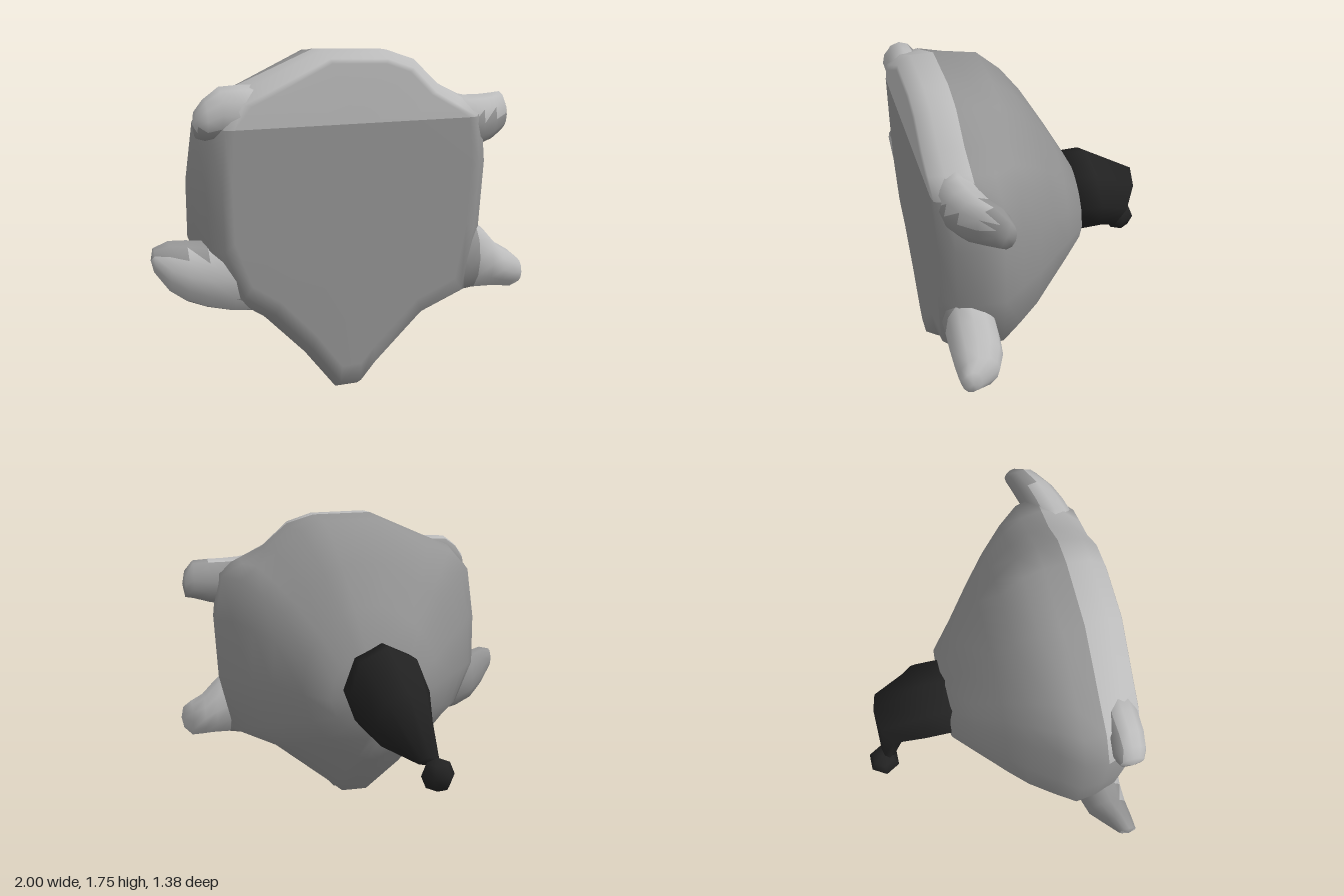
import * as THREE from 'three';

const grey = new THREE.MeshStandardMaterial({ color: 0x949494 });
grey.name = 'mid grey';
const light = new THREE.MeshStandardMaterial({ color: 0xbcbcbc });
light.name = 'light grey';
const black = new THREE.MeshStandardMaterial({ color: 0x222222 });
black.name = 'black';

// Closed smooth skin over rings of points; isLight picks the paler faces by centroid
function loft(rings, startCentre, endCentre, isLight = () => false) {
  const n = rings[0].length;
  const pts = rings.flat().concat([startCentre, endCentre]);
  const first = rings.length * n, last = first + 1;
  const tris = [];
  for (let i = 0; i < n; i++) {
    const k = (i + 1) % n;
    for (let r = 0; r < rings.length - 1; r++) {
      const a = r * n + i, b = r * n + k;
      tris.push([a, b, b + n], [a, b + n, a + n]);
    }
    const e = (rings.length - 1) * n;
    tris.push([first, k, i], [last, e + i, e + k]);
  }
  // Make the skin face outward
  let volume = 0;
  const v = new THREE.Vector3();
  for (const [a, b, c] of tris) volume += pts[a].dot(v.crossVectors(pts[b], pts[c]));
  if (volume < 0) tris.forEach((t) => t.reverse());

  const sets = [[], []];
  for (const t of tris) {
    const m = new THREE.Vector3();
    t.forEach((i) => m.addScaledVector(pts[i], 1 / 3));
    sets[isLight(m) ? 1 : 0].push(...t);
  }
  const geo = new THREE.BufferGeometry().setFromPoints(pts);
  geo.setIndex(sets.flat());
  geo.addGroup(0, sets[0].length, 0);
  geo.addGroup(sets[0].length, sets[1].length, 1);
  geo.computeVertexNormals();
  return geo;
}

function addMesh(group, name, geo, material) {
  const mesh = new THREE.Mesh(geo, material);
  mesh.name = name;
  group.add(mesh);
}

// Outline of the body at its widest section
const outline = [
  [0.06, 0.005], [0.15, 0.1], [0.45, 0.36], [0.72, 0.46], [0.79, 0.8], [0.81, 1.15], [0.78, 1.42],
  [0.65, 1.49], [0.51, 1.56], [0.36, 1.69], [0.2, 1.74], [-0.15, 1.75], [-0.5, 1.6], [-0.65, 1.54],
  [-0.76, 1.42], [-0.78, 1.1], [-0.77, 0.8], [-0.66, 0.55], [-0.48, 0.44], [-0.25, 0.22], [-0.07, 0.005],
];

// Back sections: z, half width, bottom, top, roundness
const sections = [
  [-0.2, 0.26, 0.54, 1.06, 1],
  [-0.08, 0.39, 0.39, 1.28, 0.9],
  [0.05, 0.54, 0.27, 1.5, 0.75],
  [0.15, 0.64, 0.17, 1.63, 0.6],
  [0.27, 0.73, 0.09, 1.73, 0.4],
  [0.38, 0.8, 0.05, 1.735, 0.2],
  [0.49, 0.79, 0.05, 1.745, 0],
];
const POWER = 1.75; // rounded diamond rather than a full ellipse

function bodyGeometry() {
  const rings = sections.map(([z, rx, low, high, round]) => outline.map(([x, y]) => {
    const u = x / 0.8, w = (y - 0.875) / 0.875;
    const len = (Math.abs(u) ** POWER + Math.abs(w) ** POWER) ** (1 / POWER);
    const s = THREE.MathUtils.lerp(1, 1 / len, round);
    return new THREE.Vector3(u * s * rx, (low + high) / 2 + w * s * (high - low) / 2, z);
  }));
  // Sides slope inward to the flat front
  rings.push(outline.map(([x, y]) => new THREE.Vector3(x * 0.93, y, 0.61)));
  const rim = outline.map(([x, y]) => new THREE.Vector3(x * 0.85, 0.95 + (y - 0.95) * 0.95, 0.68));
  const centre = new THREE.Vector3(0, 0.95 + 0.47 * 0.95, 0.688);
  rings.push(rim, rim.map((p) => p.clone().lerp(centre, 0.07).setZ(0.688)));
  return loft(rings, new THREE.Vector3(0, 0.8, -0.2), centre, (m) => m.z > 0.5 && m.y > 1.397);
}

// Stub limbs, as stations along x: x, y, z, half height, half depth
const limbs = {
  lowerLeftLimb: {
    path: [[0.4, 0.62, 0.53, 0.24, 0.14], [0.62, 0.645, 0.545, 0.22, 0.135], [0.72, 0.635, 0.55, 0.195, 0.13],
      [0.8, 0.6, 0.55, 0.16, 0.13], [0.87, 0.56, 0.55, 0.122, 0.125], [0.94, 0.535, 0.565, 0.105, 0.105],
      [0.985, 0.53, 0.61, 0.065, 0.05]],
    pale: (m) => m.x > 0.72,
  },
  lowerRightLimb: {
    path: [[-0.38, 0.64, 0.55, 0.2, 0.11], [-0.6, 0.66, 0.55, 0.19, 0.125], [-0.72, 0.67, 0.545, 0.17, 0.12],
      [-0.82, 0.7, 0.555, 0.155, 0.105], [-0.91, 0.745, 0.59, 0.125, 0.07], [-0.985, 0.79, 0.615, 0.06, 0.045]],
    pale: (m) => m.z > 0.57 && m.y < 0.8 && m.x < -0.5,
  },
  upperLeftLimb: {
    path: [[0.42, 1.36, 0.54, 0.18, 0.13], [0.64, 1.35, 0.56, 0.145, 0.115], [0.73, 1.355, 0.54, 0.135, 0.11],
      [0.82, 1.365, 0.51, 0.125, 0.1], [0.91, 1.38, 0.46, 0.108, 0.08], [0.96, 1.36, 0.42, 0.075, 0.05]],
    pale: (m) => m.z > 0.48 && m.y > 1.39,
  },
  upperRightLimb: {
    path: [[-0.38, 1.43, 0.57, 0.16, 0.11], [-0.55, 1.455, 0.585, 0.14, 0.1], [-0.65, 1.465, 0.59, 0.125, 0.095],
      [-0.72, 1.44, 0.595, 0.1, 0.085], [-0.765, 1.42, 0.6, 0.065, 0.06]],
    pale: (m) => m.z > 0.55 && m.y > 1.4,
  },
};

function limbGeometry({ path, pale }) {
  const rings = path.map(([x, y, z, ry, rz]) => Array.from({ length: 12 }, (_, i) => {
    const a = (i / 12) * Math.PI * 2;
    return new THREE.Vector3(x, y + Math.sin(a) * ry, z + Math.cos(a) * rz);
  }));
  const end = ([x, y, z], out) => new THREE.Vector3(x + out, y, z);
  const tip = path[path.length - 1];
  return loft(rings, end(path[0], 0), end(tip, Math.sign(tip[0]) * 0.014), pale);
}

// Bent cap rings: centre x, half width, upper y and z, lower y and z
function capGeometry() {
  const stations = [
    [-0.03, 0.22, 1.08, -0.17, 0.59, -0.17],
    [-0.03, 0.22, 1.08, -0.31, 0.59, -0.385],
    [-0.05, 0.155, 0.9, -0.6, 0.54, -0.46],
    [-0.17, 0.06, 0.55, -0.61, 0.49, -0.54],
  ];
  const rings = stations.map(([cx, rx, y1, z1, y2, z2]) => Array.from({ length: 8 }, (_, i) => {
    const a = (i / 8) * Math.PI * 2, t = (1 - Math.cos(a)) / 2;
    return new THREE.Vector3(cx + Math.sin(a) * rx, y1 + (y2 - y1) * t, z1 + (z2 - z1) * t);
  }));
  return loft(rings, new THREE.Vector3(-0.03, 0.835, -0.17), new THREE.Vector3(-0.18, 0.51, -0.58));
}

export function createModel() {
  const model = new THREE.Group();
  addMesh(model, 'body', bodyGeometry(), [grey, light]);
  for (const [name, limb] of Object.entries(limbs)) addMesh(model, name, limbGeometry(limb), [grey, light]);

  // Drooping cap with a bobble
  const cap = new THREE.Group();
  cap.name = 'cap';
  addMesh(cap, 'capCloth', capGeometry(), [black, black]);
  const bobble = new THREE.SphereGeometry(0.092, 6, 4);
  bobble.translate(-0.21, 0.455, -0.61);
  addMesh(cap, 'bobble', bobble, black);
  model.add(cap);
  return model;
}
